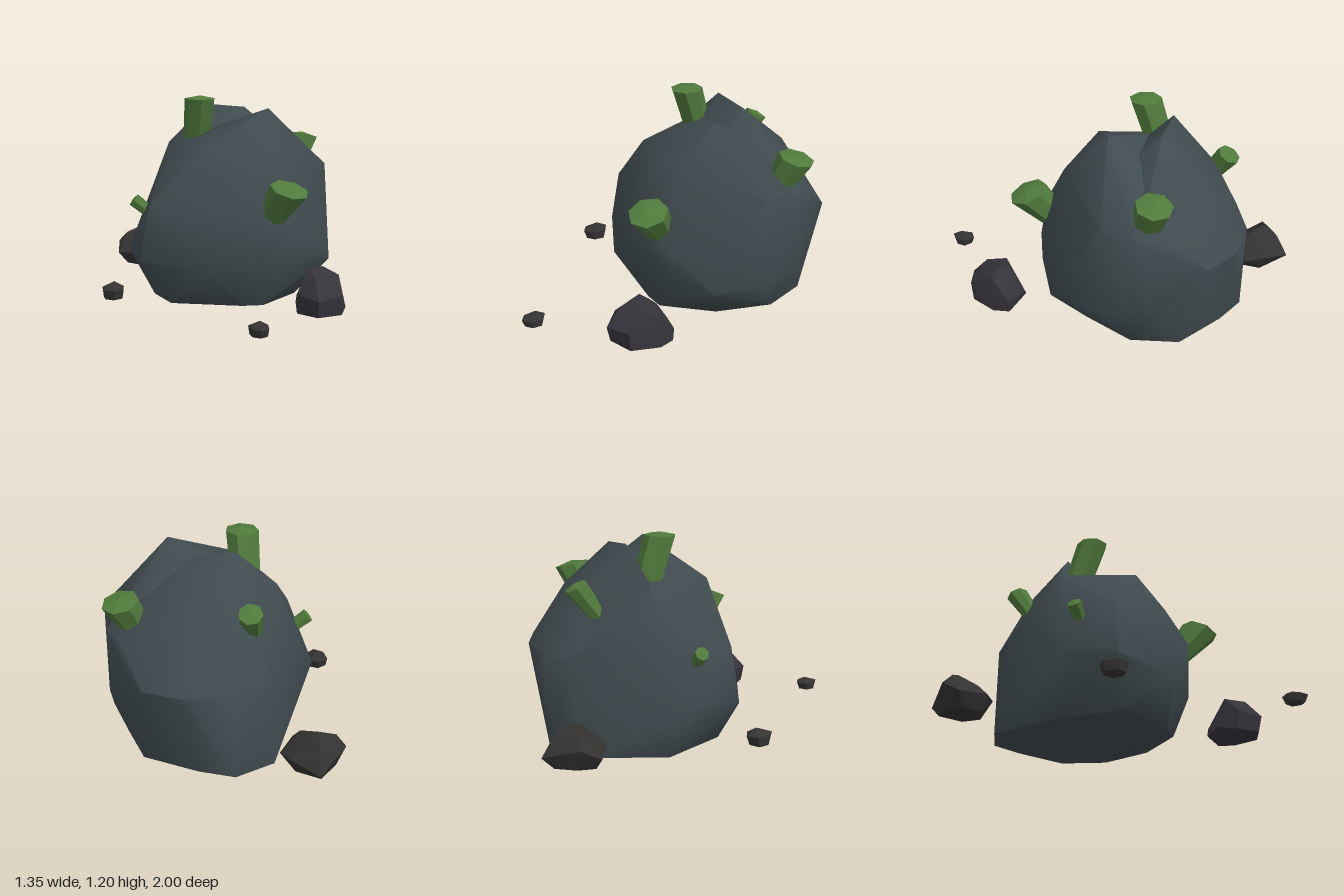
import * as THREE from 'three';
import { ConvexGeometry } from 'three/addons/geometries/ConvexGeometry.js';
import { toCreasedNormals } from 'three/addons/utils/BufferGeometryUtils.js';

const UP = new THREE.Vector3(0, 1, 0);
const mat = (color) => new THREE.MeshStandardMaterial({ color });
const stone = mat(0x404b4f);
const slate = mat(0x36333b);
const brownStone = mat(0x353232);
const green = mat(0x507a3c);
green.flatShading = true;

// Faceted stone spanned by its corner points, softened across shallow edges
function hull(name, corners, material, crease) {
  const points = corners.map((c) => new THREE.Vector3(...c));
  const mesh = new THREE.Mesh(toCreasedNormals(new ConvexGeometry(points), crease), material);
  mesh.name = name;
  return mesh;
}

// Seven-sided crystal, flaring from base to tip; level 0 has a square cap, level 1 a horizontal one
function crystal(name, base, tip, r0, r1, level) {
  const a = new THREE.Vector3(...base);
  const b = new THREE.Vector3(...tip);
  const axis = b.clone().sub(a);
  const turn = new THREE.Quaternion().setFromUnitVectors(UP, axis.clone().normalize());
  turn.slerp(new THREE.Quaternion(), level);
  axis.applyQuaternion(turn.clone().invert());
  const geo = new THREE.CylinderGeometry(r1, r0, axis.y, 7);
  const p = geo.attributes.position;
  for (let i = 0; i < p.count; i++) {
    const t = p.getY(i) / axis.y;
    if (t > 0 && Math.hypot(p.getX(i), p.getZ(i)) < 1e-4) p.setY(i, axis.y / 2 + r1 * 0.2);
    p.setX(i, p.getX(i) + axis.x * t);
    p.setZ(i, p.getZ(i) + axis.z * t);
  }
  const mesh = new THREE.Mesh(geo, green);
  mesh.name = name;
  mesh.position.copy(a).add(b).multiplyScalar(0.5);
  mesh.quaternion.copy(turn);
  return mesh;
}

// Small pebble: flat base, wider waist, low peak, narrowing to the front
function pebble(name, x, y, z, w, h, d) {
  const corners = [[x + w * 0.05, y + h, z - d * 0.1]];
  for (let i = 0; i < 6; i++) {
    const t = (i / 6) * Math.PI * 2 + Math.PI / 2;
    const c = Math.cos(t) * w * (Math.sin(t) > 0.1 ? 0.5 : 0.575);
    const s = Math.sin(t) * d * 0.5;
    corners.push([x + c * 0.9, y, z + s * 0.75], [x + c, y + h * 0.6, z + s]);
  }
  return hull(name, corners, brownStone, 0.3);
}

export function createModel() {
  const group = new THREE.Group();

  // Boulder: main body with the front peak, and the back shoulder behind a notch
  const boulder = new THREE.Group();
  boulder.name = 'boulder';
  const base = [
    [-0.36, 0, -0.26], [-0.29, 0.035, 0.08], [0.1, 0.04, 0.21], [0.22, 0.04, 0.21], [0.45, 0.04, -0.02],
    [0.57, 0.045, -0.32], [0.5, 0.045, -0.58], [0.22, 0.04, -0.74], [0.03, 0.035, -0.81], [-0.2, 0.02, -0.7],
  ];
  const waist = [
    [-0.515, 0.31, -0.16], [-0.47, 0.29, 0.11], [-0.11, 0.27, 0.31], [0.13, 0.28, 0.325], [0.38, 0.33, 0.265],
    [0.62, 0.28, 0.12], [0.66, 0.25, -0.2], [0.64, 0.32, -0.45],
    [0.13, 0.56, 0.335], [0.38, 0.5, 0.265], [-0.41, 0.6, 0.09],
  ];
  // Corners shared by both masses
  const back = [
    [0.51, 0.56, -0.72], [0.3, 0.56, -0.82], [0.05, 0.56, -0.82], [-0.12, 0.55, -0.74],
    [-0.33, 0.6, -0.45], [-0.26, 0.92, -0.32], [0.66, 0.74, -0.38], [0.57, 0.72, -0.54],
  ];
  const frontTop = [
    [0.3, 1.13, -0.1], [0.3, 0.89, 0.15], [-0.11, 0.925, 0.1], [-0.11, 0.925, -0.37], [0.66, 0.79, -0.18],
  ];
  const backTop = [
    [-0.03, 1.14, -0.36], [0.2, 1.12, -0.36], [0, 0.8, -0.02], [0.3, 0.8, -0.02],
    [-0.03, 0.9, -0.6], [0.25, 0.9, -0.61], [0.2, 0.71, -0.75], [0.05, 0.71, -0.75], [0.4, 0.95, -0.42],
  ];
  boulder.add(
    hull('boulderBody', [...base, ...waist, ...back, ...frontTop], stone, 0.9),
    hull('boulderBackShoulder', [...back, ...backTop], stone, 0.9),
  );
  group.add(boulder);

  // Crystals growing out of the boulder
  group.add(
    crystal('frontCrystal', [0.25, 0.52, 0.21], [0.335, 0.725, 0.355], 0.07, 0.11, 0.45),
    crystal('topCrystal', [-0.1, 0.88, -0.28], [-0.09, 1.185, -0.18], 0.08, 0.09, 0.9),
    crystal('leftCrystal', [0.47, 0.69, -0.36], [0.58, 0.935, -0.44], 0.075, 0.1, 0.5),
    crystal('backCrystal', [-0.09, 0.77, -0.55], [-0.06, 0.94, -0.67], 0.05, 0.065, 0.2),
    crystal('rightCrystal', [-0.38, 0.52, -0.12], [-0.485, 0.605, -0.13], 0.035, 0.04, 0),
  );

  // Loose rocks around it
  group.add(
    hull('frontRock', [
      [0.34, 0.09, 0.56], [0.43, 0.09, 0.66], [0.57, 0.09, 0.62], [0.63, 0.09, 0.47], [0.61, 0.09, 0.38],
      [0.42, 0.09, 0.36], [0.36, 0.12, 0.43], [0.335, 0.2, 0.57], [0.43, 0.18, 0.68], [0.57, 0.2, 0.63],
      [0.62, 0.17, 0.38], [0.5, 0.16, 0.345], [0.5, 0.27, 0.41], [0.42, 0.31, 0.47], [0.5, 0.32, 0.46],
      [0.58, 0.28, 0.5], [0.43, 0.28, 0.59],
    ], slate, 0.6),
    hull('backRock', [
      [-0.5, 0.08, -0.75], [-0.4, 0.075, -0.68], [-0.28, 0.08, -0.75], [-0.28, 0.08, -0.86], [-0.4, 0.08, -0.94],
      [-0.5, 0.09, -0.85], [-0.56, 0.15, -0.74], [-0.41, 0.17, -0.65], [-0.3, 0.17, -0.67], [-0.21, 0.15, -0.78],
      [-0.24, 0.18, -0.88], [-0.38, 0.14, -1], [-0.55, 0.21, -0.85], [-0.4, 0.31, -0.84], [-0.5, 0.27, -0.82],
      [-0.32, 0.27, -0.76], [-0.39, 0.26, -0.93],
    ], brownStone, 0.5),
    pebble('rightPebble', -0.62, 0.1, 0.15, 0.12, 0.09, 0.16),
    pebble('frontPebble', 0.07, 0.1, 0.93, 0.1, 0.07, 0.14),
  );
  return group;
}
